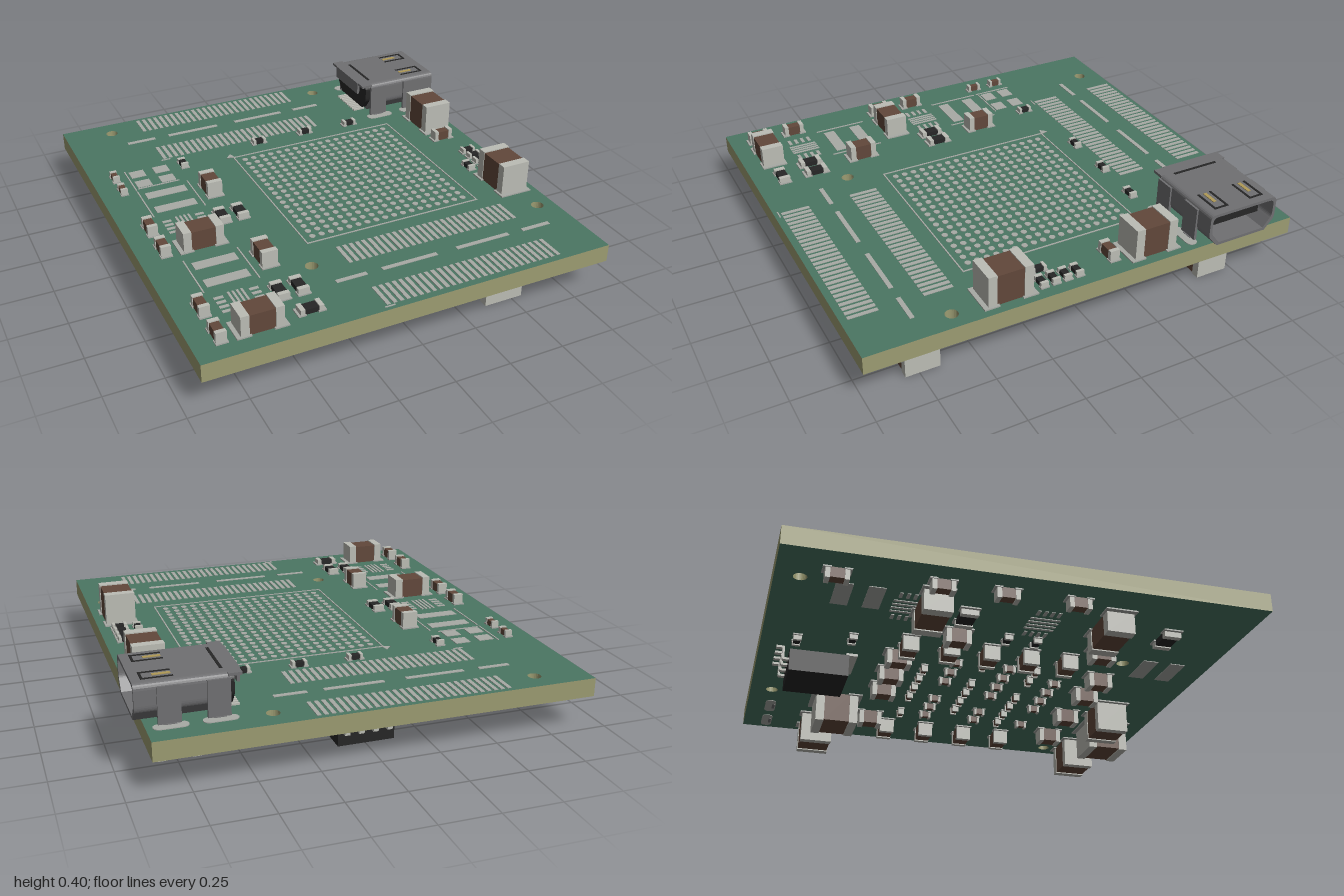
import * as THREE from 'three';
import { mergeGeometries } from 'three/addons/utils/BufferGeometryUtils.js';

const mat = (color, side = THREE.FrontSide) => new THREE.MeshStandardMaterial({ color, side });
const M = {
  mask: mat(0x4b7663), core: mat(0x9c9c72), pad: mat(0xa8aaa5), metal: mat(0xbcbdb5),
  brown: mat(0x62483b), black: mat(0x262626), shell: mat(0x707072, THREE.DoubleSide), gold: mat(0xb09a58),
};
const TOP = 0.225, BOTTOM = 0.145;

export function createModel() {
  const root = new THREE.Group();
  const add = (parent, name, geo, material) => {
    const m = new THREE.Mesh(geo, material);
    m.name = name;
    parent.add(m);
    return m;
  };
  const box = (w, h, d, x, y, z) => new THREE.BoxGeometry(w, h, d).translate(x, y, z);
  const group = (name) => {
    const g = new THREE.Group();
    g.name = name;
    root.add(g);
    return g;
  };

  // Board with four mounting holes: green faces, laminate edge
  const outline = new THREE.Shape([[-0.935, -1], [0.895, -1], [0.895, 1], [-0.935, 1]].map(p => new THREE.Vector2(...p)));
  for (const [x, z] of [[-0.71, -0.9], [0.41, -0.9], [-0.305, 0.6], [0.815, 0.6]]) {
    outline.holes.push(new THREE.Path().absarc(x, -z, 0.028, 0, Math.PI * 2, true));
  }
  const board = new THREE.ExtrudeGeometry(outline, { depth: TOP - BOTTOM, bevelEnabled: false, curveSegments: 12 });
  add(root, 'board', board.rotateX(-Math.PI / 2).translate(0, BOTTOM, 0), [M.mask, M.core]);

  // Flat copper pads and printed lines, gathered per side
  const flat = { 1: [], '-1': [] };
  const pad = (x, z, w, d, s = 1) => flat[s].push(box(w, 0.004, d, x, s > 0 ? TOP + 0.001 : BOTTOM - 0.001, z));
  const span = (x0, x1, z, d = 0.02) => pad((x0 + x1) / 2, z, x1 - x0, d);

  // Two board-to-board connector footprints
  for (const [ox, oz] of [[0, 0], [0.405, 1.5]]) {
    for (let i = 0; i < 28; i++) {
      for (const z of [-0.915, -0.595]) pad(-0.552 + ox + i * 0.0298, z + oz, 0.017, 0.128);
    }
    for (const [a, b] of [[-0.67, -0.53], [-0.46, -0.2], [-0.105, 0.155], [0.225, 0.365]]) span(a + ox, b + ox, -0.755 + oz);
    span(-0.575 + ox, -0.53 + ox, -0.52 + oz, 0.006);
  }

  // Ball grid footprint with its outline and corner mark
  for (let i = 0; i < 18; i++) {
    for (let j = 0; j < 18; j++) {
      flat[1].push(new THREE.CylinderGeometry(0.014, 0.014, 0.004, 10).translate(-0.207 + i * 0.0444, TOP + 0.001, -0.355 + j * 0.0444));
    }
  }
  for (const z of [-0.397, 0.443]) pad(0.172, z, 0.85, 0.006);
  for (const x of [-0.25, 0.594]) pad(x, 0.023, 0.006, 0.84);
  flat[1].push(new THREE.CylinderGeometry(0.024, 0.024, 0.004, 3).rotateY(0.8).translate(-0.26, TOP + 0.001, -0.412));

  // Power section footprints
  for (const x of [-0.72, -0.605]) for (const z of [-0.44, -0.345]) pad(x, z, 0.07, 0.06);
  pad(-0.77, -0.39, 0.006, 0.19);
  pad(-0.66, -0.305, 0.2, 0.006);
  for (const oz of [0, 0.625]) {
    for (const z of [-0.225, -0.092]) pad(-0.65, z + oz, 0.19, 0.053);
    for (const x of [-0.77, -0.53]) pad(x, -0.16 + oz, 0.006, 0.245);
    for (const x of [-0.683, -0.664, -0.645, -0.626]) pad(x, 0.065 + oz, 0.01, 0.13);
    for (const x of [-0.73, -0.58]) for (let i = 0; i < 4; i++) pad(x, 0.02 + i * 0.031 + oz, 0.04, 0.015);
  }

  // Underside footprints
  for (const [x, z] of [[-0.27, 0.78], [-0.62, -0.66]]) {
    for (const o of [-0.065, 0.065]) pad(x, z + o, 0.18, 0.07, -1);
  }
  for (const z of [0.125, -0.45]) {
    for (let i = 0; i < 4; i++) pad(-0.62 + i * 0.03, z, 0.014, 0.13, -1);
    for (const x of [-0.67, -0.48]) for (let i = 0; i < 4; i++) pad(x, z - 0.045 + i * 0.03, 0.04, 0.014, -1);
  }

  // Two-terminal part: body, end caps and solder pads; s is the board side
  function chip(parent, name, x, z, len, wid, h, alongX, s, material) {
    const g = new THREE.Group();
    g.name = name;
    const cap = len * 0.2;
    add(g, 'body', box(len - 2 * cap, h - 0.006, wid - 0.006, 0, h / 2 - 0.002, 0), material);
    add(g, 'endCaps', mergeGeometries([-1, 1].map(e => box(cap, h, wid, e * (len - cap) / 2, h / 2, 0))), M.metal);
    add(g, 'solderPads', mergeGeometries([-1, 1].map(e => box(cap * 1.7, 0.006, wid * 1.15, e * (len / 2 - cap * 0.35), 0.003, 0))), M.pad);
    g.rotation.set(s > 0 ? 0 : Math.PI, alongX ? 0 : Math.PI / 2, 0);
    g.position.set(x, s > 0 ? TOP : BOTTOM, z);
    parent.add(g);
  }

  // Top parts
  const topParts = group('topParts');
  const top = (name, material, len, wid, h, alongX, places) =>
    places.forEach(([x, z]) => chip(topParts, name, x, z, len, wid, h, alongX, 1, material));
  top('largeCapacitor', M.brown, 0.2, 0.135, 0.145, false, [[0.785, -0.32], [0.785, 0.36]]);
  top('wideCapacitor', M.brown, 0.18, 0.1, 0.095, true, [[-0.655, 0.24], [-0.655, 0.868]]);
  top('mediumCapacitor', M.brown, 0.125, 0.07, 0.075, false, [[-0.46, -0.155], [-0.46, 0.47]]);
  top('smallCapacitor', M.brown, 0.095, 0.045, 0.05, false, [[-0.82, 0.06], [-0.82, 0.235], [-0.82, 0.69], [-0.82, 0.865]]);
  top('smallCapacitor', M.brown, 0.095, 0.045, 0.05, true, [[0.765, -0.145]]);
  top('tinyCapacitor', M.brown, 0.065, 0.032, 0.032, false, [[-0.83, -0.435], [-0.83, -0.31]]);
  top('resistor', M.black, 0.1, 0.05, 0.028, false, [[-0.5, 0.09], [-0.415, 0.09], [-0.5, 0.715], [-0.415, 0.715]]);
  top('resistor', M.black, 0.1, 0.05, 0.028, true, [[-0.44, 0.87]]);
  top('tinyResistor', M.black, 0.065, 0.035, 0.026, false, [[-0.495, -0.435], [0.725, 0.17]]);
  top('tinyResistor', M.black, 0.065, 0.035, 0.026, true,
    [[-0.08, -0.49], [0.17, -0.49], [0.415, -0.48], [0.805, 0.035], [0.805, 0.09], [0.805, 0.145], [0.805, 0.2]]);

  // Underside parts
  const lowParts = group('undersideParts');
  const low = (name, material, len, wid, h, alongX, places) =>
    places.forEach(([x, z]) => chip(lowParts, name, x, z, len, wid, h, alongX, -1, material));
  low('largeCapacitor', M.brown, 0.18, 0.15, 0.145, true, [[0.74, 0.735], [0.22, 0.72], [0.74, -0.65]]);
  low('largeCapacitor', M.brown, 0.2, 0.18, 0.145, false, [[0.46, 0.79], [0.46, -0.59]]);
  low('wideCapacitor', M.brown, 0.23, 0.12, 0.095, true, [[-0.655, 0.4], [-0.64, -0.36]]);
  low('mediumCapacitor', M.brown, 0.11, 0.07, 0.07, true,
    [[-0.28, -0.38], [-0.28, -0.2], [-0.28, -0.02], [-0.28, 0.16], [-0.28, 0.34], [0.68, -0.3], [0.68, -0.1], [0.68, 0.1], [0.68, 0.3]]);
  low('mediumCapacitor', M.brown, 0.11, 0.07, 0.07, false,
    [[-0.15, 0.54], [0.03, 0.54], [0.3, 0.54], [0.57, 0.54], [-0.15, -0.4], [0.03, -0.4], [0.21, -0.4], [0.57, -0.4], [-0.42, 0.45], [-0.42, -0.2]]);
  low('smallCapacitor', M.brown, 0.095, 0.05, 0.05, false, [[-0.82, 0.2], [-0.82, -0.1], [-0.82, -0.36], [-0.8, -0.77]]);
  low('resistor', M.black, 0.13, 0.075, 0.03, true, [[-0.6, 0.68], [-0.57, -0.2]]);
  low('tinyResistor', M.black, 0.07, 0.035, 0.026, true, [[-0.42, 0.15], [-0.42, 0.02], [-0.25, -0.62], [-0.18, -0.85], [0.28, -0.82]]);
  // Staggered decoupling parts beneath the grid array
  for (let i = 0; i < 7; i++) {
    for (let j = 0; j < 6; j++) {
      if ((i + j * 2) % 5) low('decouplingCapacitor', M.brown, 0.052, 0.028, 0.034, j % 2 === 0, [[-0.14 + i * 0.105, -0.26 + j * 0.125]]);
    }
  }

  // Underside package with gull-wing pins
  const ic = group('package');
  add(ic, 'packageBody', box(0.24, 0.1, 0.26, 0.015, 0.075, -0.74), M.black);
  const pins = [];
  for (let i = 0; i < 4; i++) {
    const x = -0.075 + i * 0.06;
    pins.push(box(0.022, 0.01, 0.03, x, 0.085, -0.882), box(0.022, 0.058, 0.01, x, 0.114, -0.895), box(0.022, 0.01, 0.035, x, 0.14, -0.91));
  }
  add(ic, 'packagePins', mergeGeometries(pins), M.metal);
  add(ic, 'packageTab', box(0.2, 0.012, 0.05, 0.015, 0.138, -0.595), M.metal);

  // Cable socket: hollow shell opening toward +x
  const socket = group('socket');
  const cz = -0.697;
  const profile = (Shape, o) => {
    const w = 0.17 - o, n = 0.125 - o * 0.7, t = 0.395 - o, b = 0.238 + o, r = 0.025;
    const p = new Shape();
    p.moveTo(-n, b).lineTo(n, b).lineTo(w - 0.01, b + 0.04).quadraticCurveTo(w, b + 0.05, w, b + 0.07);
    p.lineTo(w, t - r).quadraticCurveTo(w, t, w - r, t).lineTo(-w + r, t).quadraticCurveTo(-w, t, -w, t - r);
    p.lineTo(-w, b + 0.07).quadraticCurveTo(-w, b + 0.05, -w + 0.01, b + 0.04).lineTo(-n, b);
    return p;
  };
  const along = (shape, x0, x1) => new THREE.ExtrudeGeometry(shape, { depth: x1 - x0, bevelEnabled: false, curveSegments: 5 })
    .rotateY(Math.PI / 2).translate(x0, 0, cz);
  const ring = profile(THREE.Shape, 0);
  ring.holes.push(profile(THREE.Path, 0.013));
  add(socket, 'socketShell', along(ring, 0.57, 0.93), M.shell);
  add(socket, 'socketInsulator', along(profile(THREE.Shape, 0.0135), 0.545, 0.64), M.black);
  add(socket, 'socketTongue', box(0.25, 0.03, 0.23, 0.76, 0.325, cz), M.black);
  add(socket, 'rearCover', mergeGeometries([
    box(0.065, 0.012, 0.24, 0.547, 0.389, cz), box(0.012, 0.06, 0.24, 0.52, 0.365, cz),
    ...[-1, 1].map(e => box(0.055, 0.012, 0.06, 0.545, 0.389, cz + e * 0.14))]), M.shell);
  const slots = [box(0.012, 0.004, 0.22, 0.585, 0.395, cz)], springs = [], legs = [], tails = [];
  for (const e of [-1, 1]) {
    const z = cz + e * 0.09;
    for (const o of [-0.03, 0.03]) slots.push(box(0.12, 0.004, 0.01, 0.83, 0.395, z + o));
    slots.push(box(0.01, 0.004, 0.07, 0.888, 0.395, z));
    springs.push(box(0.07, 0.006, 0.016, 0.81, 0.395, z));
    // Board locking legs and their slotted pads on both faces
    for (const x of [0.61, 0.8]) {
      legs.push(box(0.09, 0.16, 0.012, x, 0.3, cz + e * 0.172));
      legs.push(box(0.05, 0.09, 0.012, x, 0.185, cz + e * 0.178));
      for (const s of [1, -1]) {
        pad(x, cz + e * 0.192, 0.09, 0.05, s);
        for (const q of [-1, 1]) {
          flat[s].push(new THREE.CylinderGeometry(0.025, 0.025, 0.004, 12)
            .translate(x + q * 0.045, s > 0 ? TOP + 0.001 : BOTTOM - 0.001, cz + e * 0.192));
        }
      }
    }
  }
  for (let i = 0; i < 10; i++) tails.push(box(0.06, 0.008, 0.01, 0.54, 0.231, cz - 0.09 + i * 0.02));
  add(socket, 'shellSlots', mergeGeometries(slots), M.black);
  add(socket, 'springs', mergeGeometries(springs), M.gold);
  add(socket, 'lockingLegs', mergeGeometries(legs), M.shell);
  add(socket, 'contactTails', mergeGeometries(tails), M.metal);

  add(root, 'topPads', mergeGeometries(flat[1]), M.pad);
  add(root, 'undersidePads', mergeGeometries(flat[-1]), M.pad);
  return root;
}
